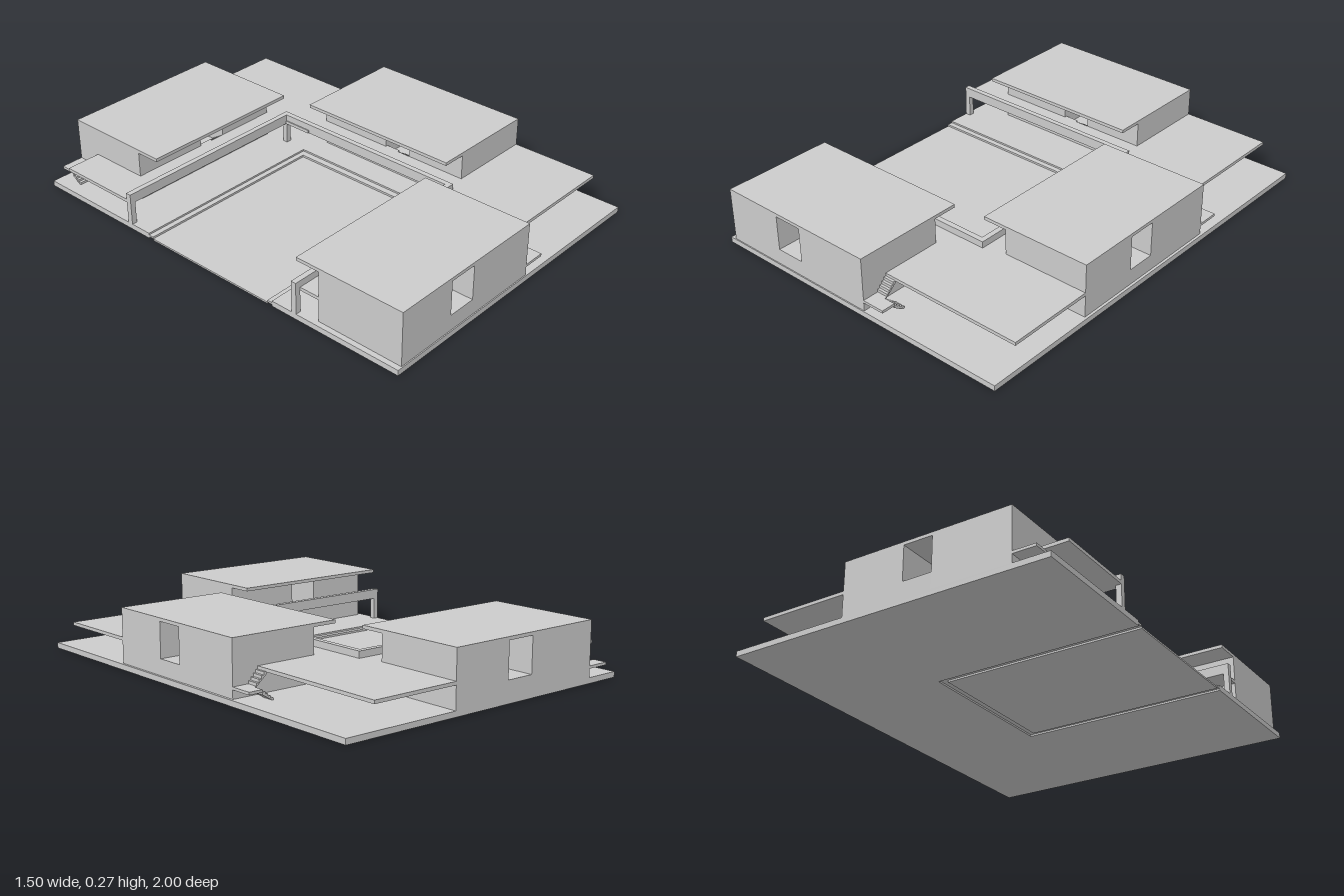
import * as THREE from 'three';

const mat = new THREE.MeshStandardMaterial({ color: 0xcccccc, flatShading: true });

// Box given by its minimum and maximum along each axis
function block(parent, name, x0, x1, y0, y1, z0, z1) {
  const m = new THREE.Mesh(new THREE.BoxGeometry(x1 - x0, y1 - y0, z1 - z0), mat);
  m.position.set((x0 + x1) / 2, (y0 + y1) / 2, (z0 + z1) / 2);
  m.name = name;
  parent.add(m);
}

// Stair flight running down from (z0, y0) to (z1, y1), with a sloping soffit
function flight(parent, name, x0, x1, z0, y0, z1, y1, steps = 5) {
  const dz = (z1 - z0) / steps, dy = (y0 - y1) / steps, t = 0.012;
  const s = new THREE.Shape();
  s.moveTo(z0, y0);
  for (let i = 0; i < steps; i++) {
    s.lineTo(z0 + i * dz, y0 - (i + 1) * dy);
    s.lineTo(z0 + (i + 1) * dz, y0 - (i + 1) * dy);
  }
  s.lineTo(z1, y1 - t);
  s.lineTo(z0, y0 - dy - t);
  const g = new THREE.ExtrudeGeometry(s, { depth: x1 - x0, bevelEnabled: false });
  g.rotateY(-Math.PI / 2);
  g.translate(x1, 0, 0);
  const m = new THREE.Mesh(g, mat);
  m.name = name;
  parent.add(m);
}

// One pavilion: origin at its outer corner on the stair end, outside facing +z
function pavilion(name, x, z, turn) {
  const p = new THREE.Group();
  p.name = name;
  const L = -0.785, in0 = -0.495, in1 = -0.36, back = -0.41, G = 0.025, R = 0.255;
  block(p, 'roof', L, 0, R, 0.27, -0.525, 0);
  block(p, 'longWing', L, in0, G, R, back, 0);
  block(p, 'shortWing', in1, 0, G, R, back, 0);
  // passage through the building with steps up to the deck
  block(p, 'passageFloor', in0, in1, G, 0.097, back, 0);
  flight(p, 'passageSteps', in0, -0.428, back, 0.14, back + 0.07, 0.097, 4);
  block(p, 'passageSill', -0.428, in1, 0.097, 0.14, back, back + 0.012);
  // outdoor stair turning back at a landing
  flight(p, 'upperFlight', 0, 0.0525, -0.125, 0.14, -0.065, 0.075);
  block(p, 'landing', 0, 0.105, 0.063, 0.075, -0.065, 0);
  flight(p, 'lowerFlight', 0.0525, 0.105, -0.065, 0.075, -0.13, 0.025);
  p.position.set(x, 0, z);
  p.rotation.y = turn;
  return p;
}

export function createModel() {
  const model = new THREE.Group();

  // ground slab around the stepped, sunken courtyard
  const ground = new THREE.Group();
  ground.name = 'ground';
  block(ground, 'groundRight', 0.205, 0.75, 0, 0.025, -0.36, 0.36);
  block(ground, 'courtyardStepRight', 0.175, 0.205, 0.008, 0.017, -0.36, 0.36);
  block(ground, 'courtyardFloor', -0.75, 0.175, 0, 0.008, -0.335, 0.335);
  for (const s of [-1, 1]) {
    const span = (a, b) => [Math.min(s * a, s * b), Math.max(s * a, s * b)];
    block(ground, 'groundEnd', -0.75, 0.75, 0, 0.025, ...span(0.36, 1));
    block(ground, 'courtyardStep', -0.75, 0.175, 0.008, 0.017, ...span(0.335, 0.36));
  }
  model.add(ground);

  // three pavilions in a pinwheel
  model.add(pavilion('frontPavilion', 0.06, 0.995, 0));
  model.add(pavilion('sidePavilion', 0.738, -0.325, Math.PI / 2));
  model.add(pavilion('backPavilion', -0.585, -1, Math.PI));

  // raised decks and walkways
  const deck = new THREE.Group();
  deck.name = 'deck';
  const y0 = 0.125, y1 = 0.14;
  block(deck, 'frontWalkway', -0.725, 0.06, y0, y1, 0.49, 0.585);
  block(deck, 'frontDeck', 0.06, 0.737, y0, y1, 0.455, 0.87);
  block(deck, 'sideWalkway', 0.23, 0.328, y0, y1, -0.325, 0.455);
  block(deck, 'backDeck', 0.2, 0.615, y0, y1, -1, -0.325);
  block(deck, 'backWalkway', -0.585, 0.2, y0, y1, -0.59, -0.49);
  block(deck, 'cornerDeck', -0.75, -0.585, y0, y1, -0.875, -0.49);
  model.add(deck);

  // parapet beam around the courtyard, on corner and end posts
  const parapet = new THREE.Group();
  parapet.name = 'parapet';
  block(parapet, 'sideBeam', 0.205, 0.23, y0, 0.17, -0.465, 0.465);
  for (const z of [-0.49, 0.465]) {
    block(parapet, 'longBeam', -0.75, 0.23, y0, 0.17, z, z + 0.025);
    block(parapet, 'endPost', -0.75, -0.725, 0.025, y0, z, z + 0.025);
    block(parapet, 'cornerPost', 0.205, 0.23, 0.025, y0, z, z + 0.025);
  }
  model.add(parapet);

  return model;
}
